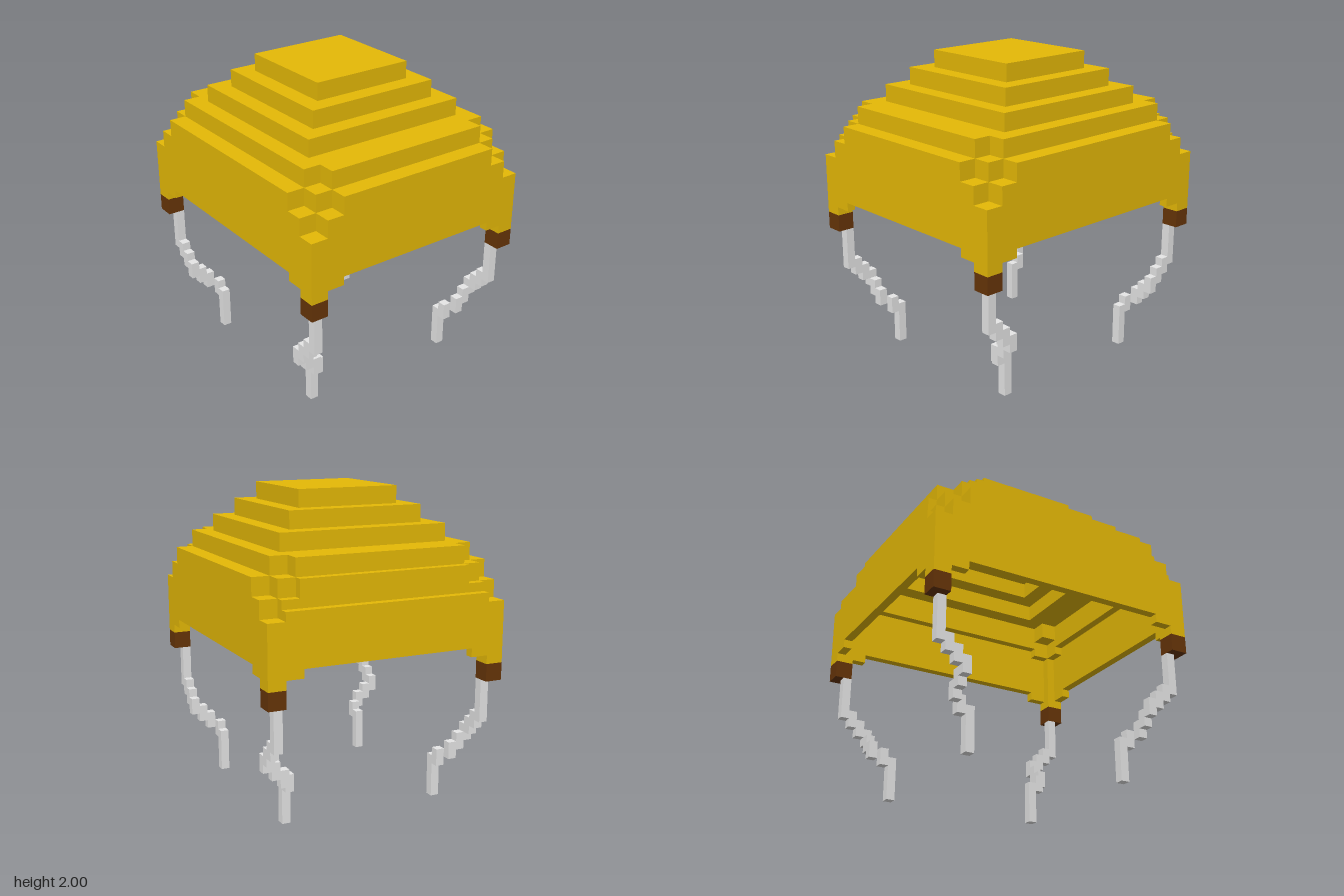
import * as THREE from 'three';

const U = 1 / 9; // one canopy block; cords use half blocks

export function createModel() {
  const model = new THREE.Group();
  model.name = 'parachute';
  const gold = new THREE.MeshStandardMaterial({ name: 'gold cloth', color: 0xe5b906 });
  const brown = new THREE.MeshStandardMaterial({ name: 'brown leather', color: 0x673508 });
  const grey = new THREE.MeshStandardMaterial({ name: 'grey cord', color: 0xe6e6e6 });

  const add = (name, geometry, material, parent = model) => {
    const mesh = new THREE.Mesh(geometry, material);
    mesh.name = name;
    parent.add(mesh);
    return mesh;
  };
  // Box between two corners, in blocks
  const box = (name, [x0, x1], [y0, y1], [z0, z1], material, parent) => {
    const g = new THREE.BoxGeometry(Math.abs(x1 - x0) * U, (y1 - y0) * U, Math.abs(z1 - z0) * U);
    g.translate((x0 + x1) / 2 * U, (y0 + y1) / 2 * U, (z0 + z1) / 2 * U);
    return add(name, g, material, parent);
  };
  const toPoints = (list) => list.map(([x, y]) => new THREE.Vector2(x * U, y * U));
  // Closed outline from its right half, listed bottom to top
  const mirrored = (half) => new THREE.Shape(toPoints(
    [...half, ...half.map(([x, y]) => [-x, y]).reverse()]));
  const extrude = (shape, depth) =>
    new THREE.ExtrudeGeometry(shape, { depth: depth * U, bevelEnabled: false });

  // Stepped roof: square frames closed by a solid top
  const tier = (name, half, y, hole) => {
    const shape = mirrored(half);
    if (hole) {
      shape.holes.push(new THREE.Path(toPoints(
        [[-hole, -hole], [-hole, hole], [hole, hole], [hole, -hole]])));
    }
    add(name, extrude(shape, 1).rotateX(-Math.PI / 2).translate(0, y * U, 0), gold);
  };
  tier('lowerRoof', [[5, -7], [5, -6], [6, -6], [6, 6], [5, 6], [5, 7]], 14, 5);
  tier('middleRoof', [[5, -5], [5, 5]], 15, 4);
  tier('upperRoof', [[4, -4], [4, 4]], 16, 3);
  tier('roofTop', [[3, -3], [3, 3]], 17);

  // Thin front and back curtains, each with a thicker band inside its top; the back one stops low
  const hem = [[5, 9.5], [5, 9], [6, 9], [6, 8.5], [7, 8.5], [7, 12], [6, 12]];
  const full = mirrored([...hem, [6, 13], [5, 13], [5, 14]]);
  const low = mirrored([...hem, [6, 12.5]]);
  const band = mirrored([[5, 12.5], [5, 12], [6, 12], [6, 13], [5, 13], [5, 14]]);
  const along = (name, shape, z) =>
    add(name, extrude(shape, 0.5).translate(0, 0, z * U), gold);
  along('frontCurtain', full, 7.5);
  along('frontBand', band, 7);
  along('backCurtain', low, -8);
  along('backBand', band, -7.5);

  // Side curtains and their bands
  const side = mirrored([[6, 9.5], [6, 9], [7, 9], [7, 13], [6, 13], [6, 14]]);
  const sideBand = mirrored([[6, 12.5], [6, 12], [7, 12], [7, 13], [6, 13], [6, 14]]);
  const across = (name, shape, x) =>
    add(name, extrude(shape, 0.5).rotateY(Math.PI / 2).translate(x * U, 0, 0), gold);
  across('leftCurtain', side, 6.5);
  across('leftBand', sideBand, 6);
  across('rightCurtain', side, -7);
  across('rightBand', sideBand, -6.5);

  // Cord pieces: x cell, z cell, bottom and top, in half blocks
  const cord = [
    [12, 14, 10, 15], [12, 13, 9, 11], [12, 12, 8, 10], [12, 11, 7, 9],
    [11, 11, 6, 8], [10, 11, 5, 7], [9, 10, 4, 6], [9, 9, 0, 5],
  ];
  for (const sx of [1, -1]) {
    for (const sz of [1, -1]) {
      const corner = new THREE.Group();
      corner.name = (sz > 0 ? 'front' : 'back') + (sx > 0 ? 'Left' : 'Right') + 'Corner';
      model.add(corner);
      box('cornerBlock', [5 * sx, 6 * sx], [13, 14], [6 * sz, 7 * sz], gold, corner);
      box('cornerPost', [6 * sx, 7 * sx], [8.5, 12], [7 * sz, 7.5 * sz], gold, corner);
      box('cordMount', [6 * sx, 7 * sx], [7.5, 8.5], [7 * sz, 8 * sz], brown, corner);
      for (const [x, z, y0, y1] of cord) {
        box('cord', [sx * x / 2, sx * (x + 1) / 2], [y0 / 2, y1 / 2],
          [sz * z / 2, sz * (z + 1) / 2], grey, corner);
      }
    }
  }
  return model;
}
